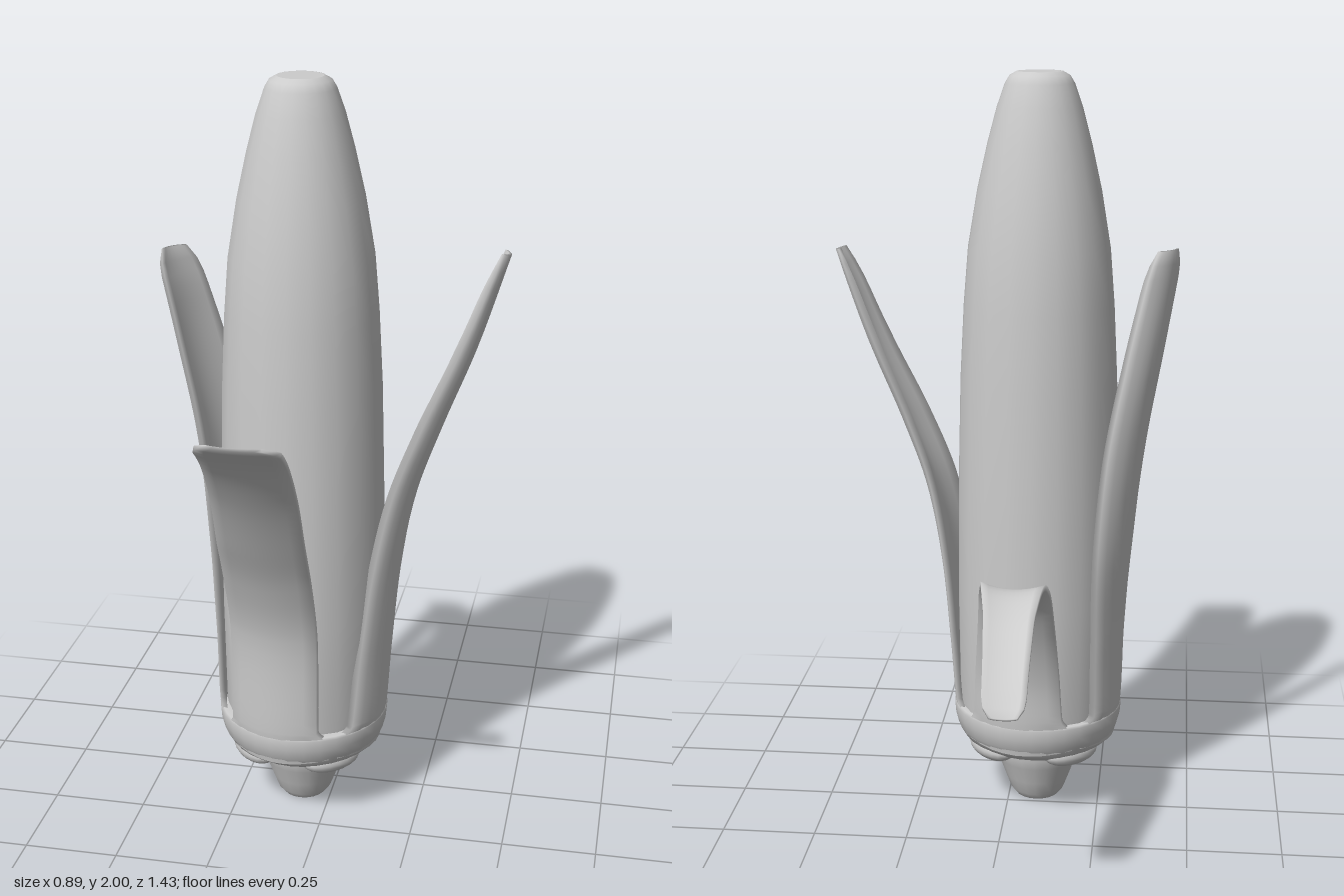
import * as THREE from 'three';

const material = new THREE.MeshStandardMaterial({ color: 0xcccccc, side: THREE.DoubleSide });
const rad = THREE.MathUtils.degToRad;

function turned(name, profile, segments) {
  const points = profile.map(([r, y]) => new THREE.Vector2(r, y));
  const mesh = new THREE.Mesh(new THREE.LatheGeometry(points, segments), material);
  mesh.name = name;
  return mesh;
}

// Rows up the leaf: [x, y, z, half width, edge curl, facing angle in degrees]
function leaf(name, angle, upperRows) {
  const root = (r, y, half) => [
    r * Math.sin(rad(angle)), y, r * Math.cos(rad(angle)),
    r * Math.sin(rad(half)), r * (1 - Math.cos(rad(half))), angle];
  const rows = [root(0.215, 0.2, 42), root(0.227, 0.265, 39), root(0.231, 0.3, 32), ...upperRows];
  const path = new THREE.CatmullRomCurve3(rows.map(([x, y, z]) => new THREE.Vector3(x, y, z)));
  const steps = 48, across = 8, loop = 2 * (across + 1), thick = 0.016;
  const positions = [], index = [];
  for (let i = 0; i <= steps; i++) {
    const t = i / steps;
    const f = t * (rows.length - 1), k = Math.min(Math.floor(f), rows.length - 2);
    const value = (c) => THREE.MathUtils.lerp(rows[k][c], rows[k + 1][c], f - k);
    const end = Math.max(0, (t - 0.95) / 0.05);
    const width = value(3) * (1 - 0.35 * end ** 3), yaw = rad(value(5));
    const side = new THREE.Vector3(Math.cos(yaw), 0, -Math.sin(yaw));
    const out = side.clone().cross(path.getTangent(t)).normalize();
    const centre = path.getPoint(t);
    for (let j = 0; j < loop; j++) {
      const inner = j > across;
      const u = (inner ? loop - 1 - j : j) / across * 2 - 1;
      const depth = -value(4) * u * u - (inner ? thick * (1 - 0.5 * end) : 0);
      const p = centre.clone().addScaledVector(side, u * width).addScaledVector(out, depth);
      positions.push(p.x, p.y, p.z);
    }
  }
  for (let i = 0; i < steps; i++) {
    for (let j = 0; j < loop; j++) {
      const a = i * loop + j, b = i * loop + (j + 1) % loop;
      index.push(a, b, a + loop, b, b + loop, a + loop);
    }
  }
  // Close the tip
  const tip = steps * loop;
  for (let j = 0; j < across; j++) {
    const c = tip + loop - 2 - j;
    index.push(tip + j, tip + j + 1, c, tip + j, c, c + 1);
  }
  const geometry = new THREE.BufferGeometry();
  geometry.setAttribute('position', new THREE.Float32BufferAttribute(positions, 3));
  geometry.setIndex(index);
  geometry.computeVertexNormals();
  const mesh = new THREE.Mesh(geometry, material);
  mesh.name = name;
  return mesh;
}

export function createModel() {
  const model = new THREE.Group();
  model.name = 'earOfCorn';

  // Cob
  const cob = turned('cob', [
    [0.2, 0.2], [0.214, 0.3], [0.218, 0.6], [0.216, 0.9], [0.209, 1.2], [0.199, 1.4],
    [0.187, 1.55], [0.162, 1.7], [0.135, 1.82], [0.111, 1.91], [0.09, 1.97],
    [0.078, 1.99], [0.06, 2], [0.058, 2], [0, 2]], 20);
  cob.position.set(-0.076, 0, 0.068);
  model.add(cob);

  // Stalk and the cup that joins the husk leaves
  const husk = new THREE.Group();
  husk.name = 'husk';
  husk.position.set(-0.078, 0, 0.072);
  model.add(husk);
  husk.add(turned('stalk', [
    [0, 0], [0.056, 0], [0.06, 0.001], [0.075, 0.02], [0.09, 0.06], [0.108, 0.11],
    [0.12, 0.14], [0.124, 0.2]], 20));
  husk.add(turned('huskCup', [
    [0.1, 0.172], [0.15, 0.168], [0.18, 0.174], [0.205, 0.192], [0.221, 0.22],
    [0.229, 0.25], [0.2315, 0.28], [0.226, 0.286], [0.2, 0.287]], 32));

  // Swollen folds under the cup
  for (let i = 0; i < 4; i++) {
    const a = rad(40 + 90 * i);
    const fold = new THREE.Mesh(new THREE.SphereGeometry(1, 20, 12), material);
    fold.name = 'huskFold' + (i + 1);
    fold.scale.set(0.085, 0.036, 0.048);
    fold.position.set(0.154 * Math.sin(a), 0.179, 0.154 * Math.cos(a));
    fold.rotation.y = a;
    husk.add(fold);
  }

  // Husk leaves
  husk.add(leaf('frontLeaf', -12, [
    [-0.042, 0.58, 0.24, 0.12, 0.03, -10], [-0.039, 0.75, 0.295, 0.117, 0.024, -7],
    [-0.035, 0.89, 0.365, 0.113, 0.02, -4], [-0.027, 1.05, 0.455, 0.108, 0.018, -2],
    [-0.023, 1.18, 0.548, 0.104, 0.012, 0], [-0.022, 1.268, 0.64, 0.102, 0.004, 0]]));
  husk.add(leaf('leftLeaf', 78, [
    [0.238, 0.5, 0.026, 0.115, 0.032, 78], [0.26, 0.72, 0.004, 0.1, 0.032, 78],
    [0.299, 0.92, -0.017, 0.085, 0.034, 79], [0.362, 1.1, -0.037, 0.07, 0.034, 80],
    [0.444, 1.31, -0.067, 0.053, 0.028, 82], [0.521, 1.553, -0.097, 0.036, 0.014, 84]]));
  husk.add(leaf('rightLeaf', 258, [
    [-0.229, 0.5, -0.064, 0.117, 0.032, 255], [-0.24, 0.76, -0.1, 0.108, 0.03, 247],
    [-0.262, 1.03, -0.105, 0.09, 0.026, 239], [-0.304, 1.3, -0.076, 0.073, 0.02, 233],
    [-0.345, 1.55, -0.03, 0.055, 0.01, 229]]));
  husk.add(leaf('backLeaf', 168, [
    [0.047, 0.42, -0.237, 0.115, 0.03, 169], [0.043, 0.57, -0.282, 0.103, 0.025, 171],
    [0.038, 0.686, -0.347, 0.093, 0.02, 174], [0.033, 0.738, -0.432, 0.08, 0.014, 177],
    [0.028, 0.712, -0.552, 0.063, 0.01, 178], [0.024, 0.638, -0.672, 0.056, 0.008, 179],
    [0.021, 0.555, -0.782, 0.052, 0.006, 180]]));
  return model;
}
